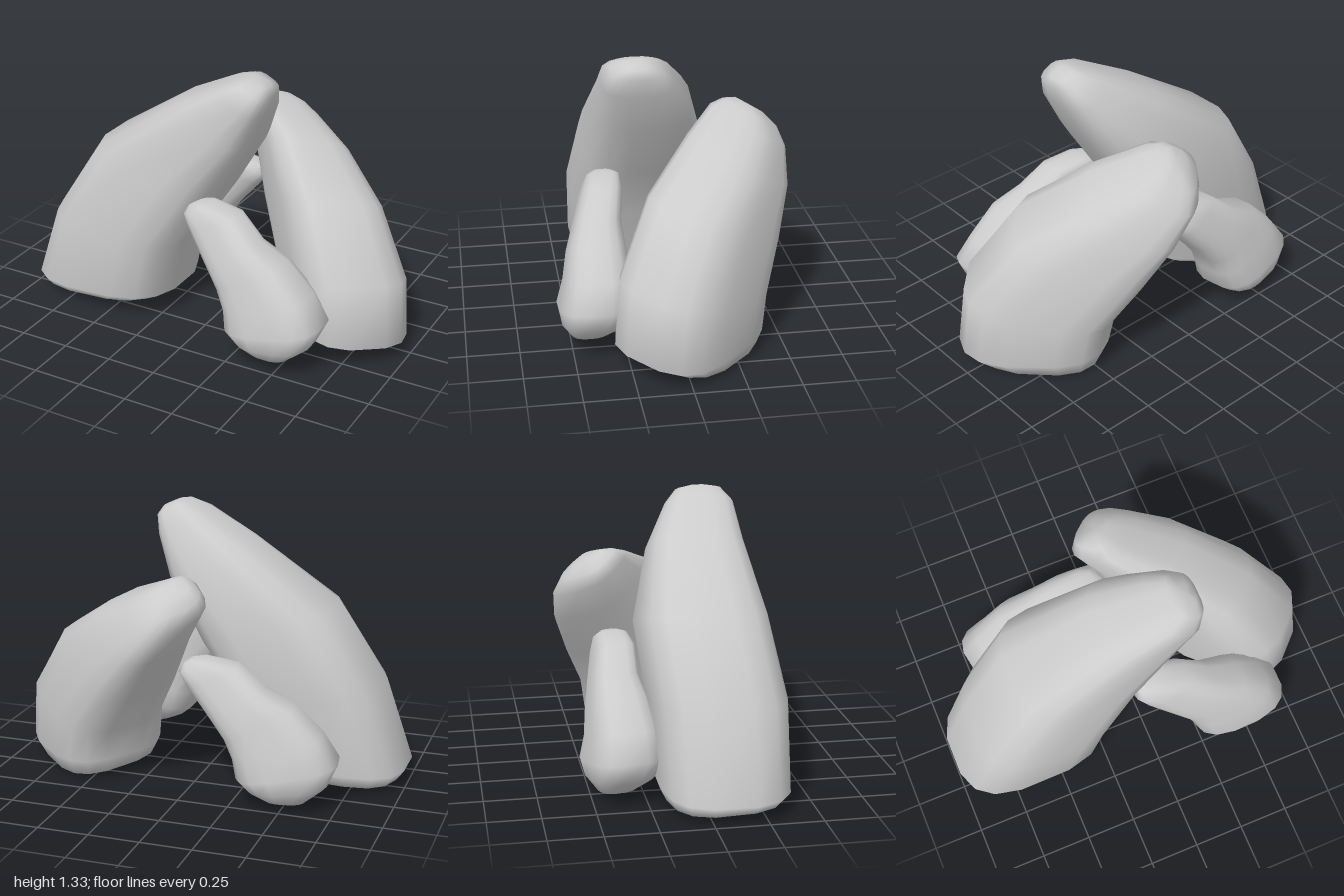
import * as THREE from 'three';

const SIDES = 16;

// Loft a boulder through slanted slices from base to tip.
// Slice: [inner x, inner y, outer x, outer y, centre z, half depth, rise of the +z side]
function boulder(slices, squareness) {
  const pos = [], index = [];
  const soft = v => Math.sign(v) * Math.pow(Math.abs(v), squareness);
  const n = slices.length;
  for (const [lx, ly, rx, ry, z, hz, rise = 0] of slices) {
    for (let i = 0; i < SIDES; i++) {
      const t = (i + 0.5) / SIDES * Math.PI * 2;
      const c = soft(Math.cos(t)), s = soft(Math.sin(t));
      pos.push((lx + rx) / 2 + (rx - lx) / 2 * c, (ly + ry) / 2 + (ry - ly) / 2 * c + rise * s, z + hz * s);
    }
  }
  for (let k = 0; k < n - 1; k++) {
    for (let i = 0; i < SIDES; i++) {
      const a = k * SIDES + i, b = k * SIDES + (i + 1) % SIDES;
      index.push(a, a + SIDES, b, b, a + SIDES, b + SIDES);
    }
  }
  // end caps
  for (const k of [0, n - 1]) {
    const [lx, ly, rx, ry, z] = slices[k];
    const centre = pos.length / 3;
    pos.push((lx + rx) / 2, (ly + ry) / 2, z);
    for (let i = 0; i < SIDES; i++) {
      const a = k * SIDES + i, b = k * SIDES + (i + 1) % SIDES;
      if (k === 0) index.push(centre, a, b);
      else index.push(centre, b, a);
    }
  }
  const geo = new THREE.BufferGeometry();
  geo.setAttribute('position', new THREE.Float32BufferAttribute(pos, 3));
  geo.setIndex(index);
  geo.computeVertexNormals();
  return geo;
}

export function createModel() {
  const group = new THREE.Group();
  const stone = new THREE.MeshStandardMaterial({ color: 0xcccccc, roughness: 0.9 });
  const add = (name, geo) => {
    const mesh = new THREE.Mesh(geo, stone);
    mesh.name = name;
    group.add(mesh);
    return mesh;
  };

  // tallest slab, leaning towards +x
  add('tallLeaningRock', boulder([
    [-0.84, 0.03, -0.4, 0.04, 0.1, 0.2, 0.01],
    [-0.96, 0.05, -0.28, 0.09, 0.1, 0.28, 0.01],
    [-1.0, 0.1, -0.2, 0.14, 0.1, 0.31],
    [-0.86, 0.5, -0.15, 0.42, 0.1, 0.32],
    [-0.62, 0.89, 0.03, 0.7, 0.06, 0.31],
    [-0.18, 1.18, 0.21, 0.99, 0.09, 0.235],
    [0.07, 1.31, 0.29, 1.18, 0.14, 0.175],
    [0.17, 1.345, 0.31, 1.27, 0.15, 0.12],
    [0.21, 1.345, 0.29, 1.31, 0.15, 0.05],
  ], 0.68));

  // broad curved rock set diagonally, leaning back, higher on one flank
  add('broadCurvedRock', boulder([
    [0.14, 0.04, 0.52, 0.03, -0.47, 0.16, 0.02],
    [0.06, 0.06, 0.67, 0.06, -0.46, 0.25, 0.04],
    [0.03, 0.13, 0.77, 0.11, -0.46, 0.28, 0.03],
    [0.0, 0.28, 0.73, 0.42, -0.46, 0.28, 0.03],
    [-0.16, 0.5, 0.48, 0.74, -0.43, 0.26, 0.05],
    [-0.3, 0.72, 0.14, 0.93, -0.4, 0.22, 0.07],
    [-0.38, 0.87, -0.1, 1.02, -0.35, 0.18, 0.06],
    [-0.37, 0.95, -0.17, 1.05, -0.34, 0.13, 0.04],
    [-0.32, 1.01, -0.23, 1.06, -0.33, 0.07, 0.02],
  ], 0.68)).rotation.y = -Math.PI / 4;

  // two small matching rocks, propped at front and back
  const small = boulder([
    [0.36, 0.09, 0.56, 0.09, 0.42, 0.09],
    [0.28, 0.13, 0.66, 0.17, 0.4, 0.15],
    [0.22, 0.18, 0.71, 0.28, 0.385, 0.18],
    [0.2, 0.27, 0.63, 0.4, 0.37, 0.16],
    [0.16, 0.36, 0.49, 0.54, 0.365, 0.14],
    [0.07, 0.48, 0.35, 0.6, 0.345, 0.115],
    [-0.03, 0.6, 0.22, 0.71, 0.31, 0.1],
    [-0.07, 0.66, 0.06, 0.73, 0.29, 0.08],
    [-0.05, 0.7, 0.0, 0.725, 0.29, 0.04],
  ], 0.7);
  add('smallFrontRock', small);
  const back = add('smallBackRock', small);
  back.rotation.y = Math.PI + 0.17;
  back.position.set(0.02, -0.04, -0.05);

  return group;
}
